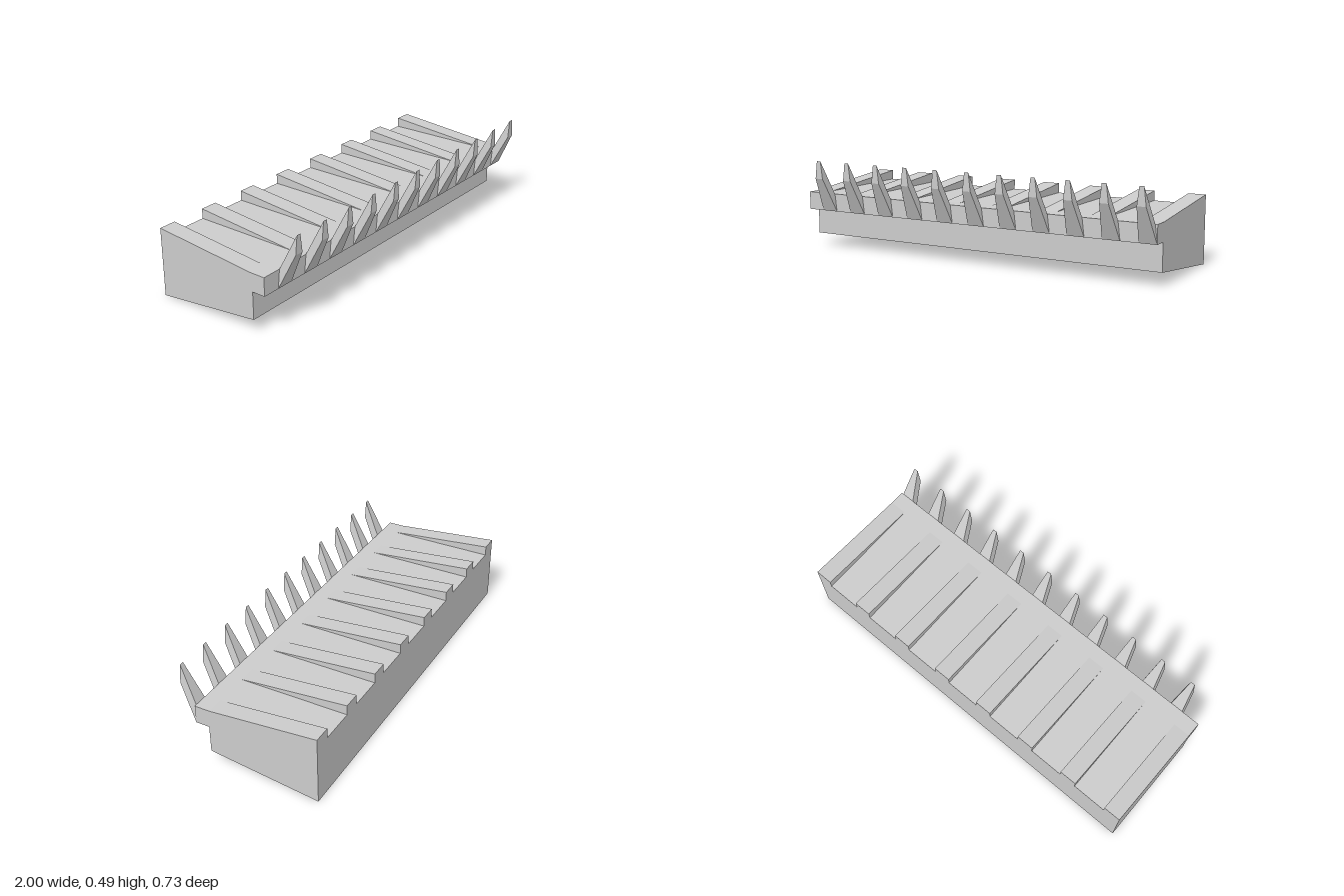
import * as THREE from 'three';

const material = new THREE.MeshStandardMaterial({ color: 0xcccccc, flatShading: true });

// Extrudes a (z, y) side profile along x, centred on x = 0.
function sideExtrude(points, width) {
  const shape = new THREE.Shape(points.map(([z, y]) => new THREE.Vector2(z, y)));
  const geometry = new THREE.ExtrudeGeometry(shape, { depth: width, bevelEnabled: false });
  geometry.translate(0, 0, -width / 2);
  geometry.rotateY(-Math.PI / 2);
  return geometry;
}

function addPart(group, name, geometry, x = 0) {
  const mesh = new THREE.Mesh(geometry, material);
  mesh.name = name;
  mesh.position.x = x;
  group.add(mesh);
}

export function createModel() {
  const group = new THREE.Group();
  group.name = 'ribbedToothedBar';

  // Body with sloping underside and an overhanging front lip
  addPart(group, 'body', sideExtrude([
    [-0.365, 0], [0.207, 0.068], [0.207, 0.21], [0.278, 0.21], [0.278, 0.304], [-0.365, 0.304],
  ], 2));

  // Wedge ribs rising towards the back, sharing the body's end faces
  const pitch = 2 / 22;
  const rib = sideExtrude([[-0.365, 0.304], [0.2, 0.304], [-0.365, 0.355]], pitch);
  for (let i = 0; i < 8; i++) addPart(group, 'rib', rib, -1 + pitch * (0.5 + 3 * i));

  // Teeth leaning forward from the lip, narrowing with height
  const tooth = sideExtrude([[0.278, 0.21], [0.365, 0.393], [0.365, 0.486], [0.278, 0.304]], pitch);
  const p = tooth.attributes.position;
  for (let i = 0; i < p.count; i++) {
    p.setX(i, p.getX(i) * THREE.MathUtils.mapLinear(p.getY(i), 0.21, 0.486, 1, 0.25));
  }
  tooth.computeVertexNormals();
  for (let i = 0; i < 11; i++) addPart(group, 'tooth', tooth, -1 + pitch * (1.5 + 2 * i));

  return group;
}
